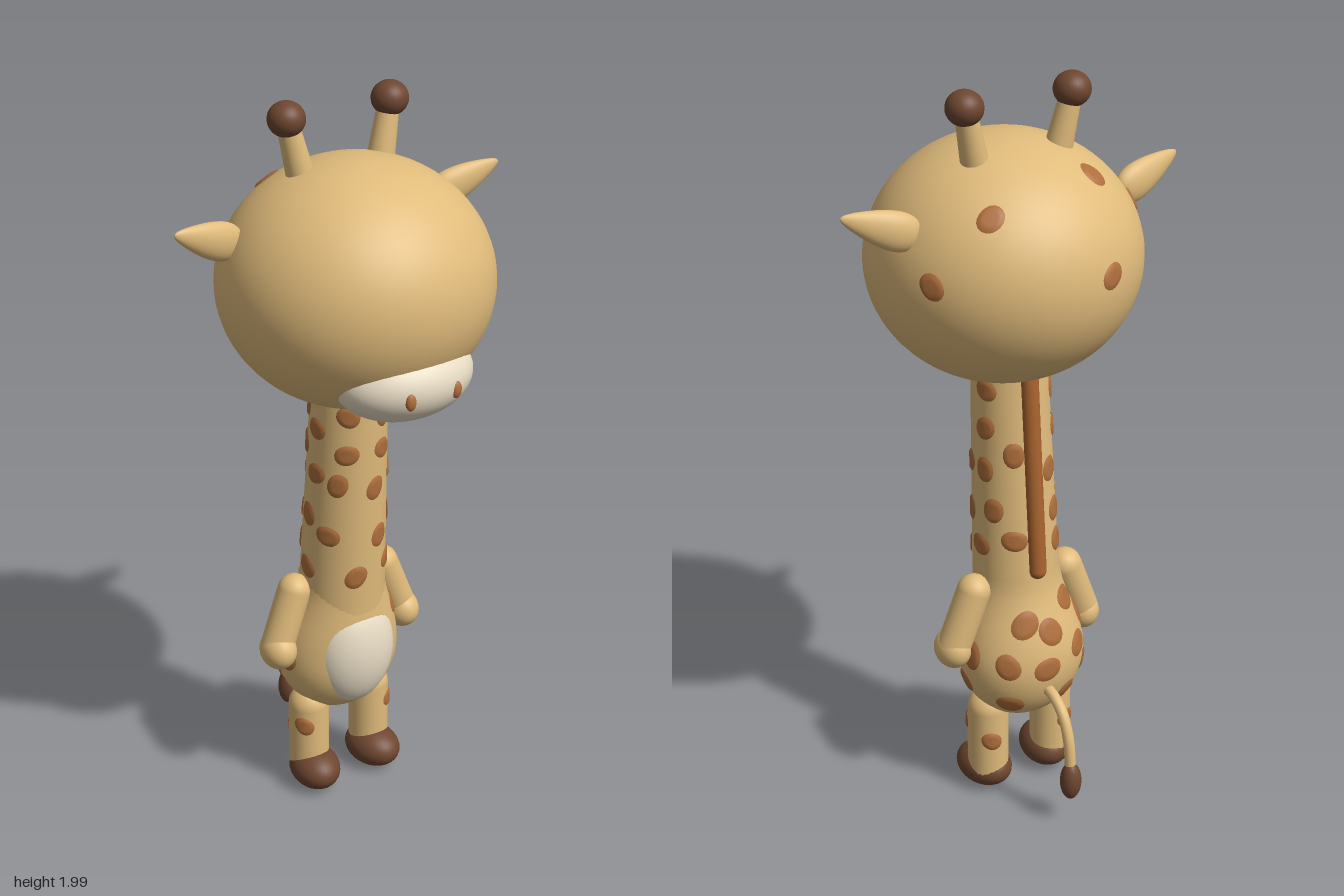
import * as THREE from 'three';
import { mergeVertices } from 'three/addons/utils/BufferGeometryUtils.js';

const mat = (color, side = THREE.FrontSide) => new THREE.MeshStandardMaterial({ color, side });
const TAN = mat(0xe0bb7b), CREAM = mat(0xe8dcc4), BROWN = mat(0x6e4630), MANE = mat(0xa8632f);
const SPOT = mat(0xae6e3c, THREE.DoubleSide);
const V = (x, y, z) => new THREE.Vector3(x, y, z);
const UP = V(0, 1, 0);

function add(parent, name, geometry, material) {
  const mesh = new THREE.Mesh(geometry, material);
  mesh.name = name;
  parent.add(mesh);
  return mesh;
}

function ellipsoid(parent, name, material, pos, radii, segments = 32) {
  const mesh = add(parent, name, new THREE.SphereGeometry(1, segments, Math.round(segments * 0.75)), material);
  mesh.position.copy(pos);
  mesh.scale.copy(radii);
  return mesh;
}

// Round-ended limb between two points
function capsule(parent, name, material, a, b, r) {
  const mesh = add(parent, name, new THREE.CapsuleGeometry(r, a.distanceTo(b), 8, 24), material);
  mesh.position.copy(a).lerp(b, 0.5);
  mesh.quaternion.setFromUnitVectors(UP, b.clone().sub(a).normalize());
  return mesh;
}

// Straight tapered rod from a to b
function rod(parent, name, material, a, b, ra, rb) {
  const mesh = add(parent, name, new THREE.CylinderGeometry(rb, ra, a.distanceTo(b), 28), material);
  mesh.position.copy(a).lerp(b, 0.5);
  mesh.quaternion.setFromUnitVectors(UP, b.clone().sub(a).normalize());
  return mesh;
}

// Surfaces: (angle round the part, height, lift off the skin) => point
const HEAD = { c: V(0, 1.53, 0.013), r: V(0.357, 0.32, 0.352) };
const headSkin = (a, lat, lift = 0) => V(
  (HEAD.r.x + lift) * Math.sin(a) * Math.cos(lat),
  (HEAD.r.y + lift) * Math.sin(lat),
  (HEAD.r.z + lift) * Math.cos(a) * Math.cos(lat)).add(HEAD.c);

const neckSkin = (a, y, lift = 0) => {
  const t = (y - 0.6) / 0.65;
  const r = 0.117 - 0.017 * t + lift;
  return V(r * Math.sin(a), y, -0.053 + 0.039 * t + r * Math.cos(a));
};

const bodyRadius = y => y < 0.42
  ? 0.175 * Math.sqrt(Math.max(0, 1 - ((0.42 - y) / 0.185) ** 2))
  : 0.145 + 0.03 * Math.cos(Math.PI * (y - 0.42) / 0.26);
const bodySkin = (a, y, lift = 0) => {
  const r = bodyRadius(y) + lift;
  const t = THREE.MathUtils.smoothstep(y, 0.42, 0.68);
  return V(r * Math.sin(a), y, -0.08 + 0.025 * t + r * Math.cos(a) * (0.85 + 0.13 * t));
};

// Closed skin swept around a surface rule
function loft(parent, name, skin, height) {
  const g = new THREE.PlaneGeometry(1, 1, 40, 28);
  const p = g.attributes.position;
  for (let i = 0; i < p.count; i++) {
    const q = skin(p.getX(i) * 2 * Math.PI, height(p.getY(i) + 0.5));
    p.setXYZ(i, q.x, q.y, q.z);
  }
  g.deleteAttribute('uv');
  g.deleteAttribute('normal');
  const welded = mergeVertices(g, 1e-5);
  welded.computeVertexNormals();
  return add(parent, name, welded, TAN);
}

// Thin patch that follows a skin; ru and rv turn lengths into its two parameters
function spot(parent, name, skin, a, h, size, ru, rv = 1) {
  const g = new THREE.RingGeometry(0.001, 1, 18, 4);
  const p = g.attributes.position;
  for (let i = 0; i < p.count; i++) {
    const x = p.getX(i), y = p.getY(i);
    const wobble = 1 + 0.1 * Math.sin(2 * Math.atan2(y, x) + a * 7 + h * 11);
    const edge = Math.hypot(x, y) > 0.95 ? 0.001 : 0.005;
    const q = skin(a + x * size * wobble / ru, h + y * size * wobble / rv, edge);
    p.setXYZ(i, q.x, q.y, q.z);
  }
  g.computeVertexNormals();
  add(parent, name, g, SPOT);
}

export function createModel() {
  const model = new THREE.Group();
  model.name = 'giraffe';

  // Head, muzzle and nostrils
  const head = new THREE.Group();
  head.name = 'head';
  model.add(head);
  ellipsoid(head, 'skull', TAN, HEAD.c, HEAD.r, 56);
  ellipsoid(head, 'muzzle', CREAM, V(0, 1.35, 0.22), V(0.19, 0.11, 0.147), 40);
  const headSpots = [[-2.485, 0.85], [2.5, 0.66], [-1.97, 0.42], [2.1, 0.11], [-2.83, 0.1]];
  for (const [a, lat] of headSpots) spot(head, 'headSpot', headSkin, a, lat, 0.034, 0.35 * Math.cos(lat), 0.33);

  // Neck, mane and torso
  loft(model, 'neck', neckSkin, t => 0.58 + 0.7 * t);
  capsule(model, 'mane', MANE, V(0, 1.25, -0.112), V(0, 0.7, -0.16), 0.024);
  loft(model, 'body', bodySkin, t => 0.235 + 0.445 * t * t);
  ellipsoid(model, 'bellyPatch', CREAM, V(0, 0.445, 0), V(0.12, 0.165, 0.09), 36);

  // Spots as [angle, height]
  const neckSpots = [
    [-0.6, 1.18], [0.45, 1.165], [-0.6, 1.07], [0.45, 1.07], [-0.8, 0.98], [0.2, 0.96], [1.2, 0.98],
    [-1, 0.825], [0.38, 0.81], [-0.27, 0.7], [0.8, 0.72], [1.95, 1.2], [1.9, 1.095], [1.87, 0.98],
    [1.22, 0.845], [2.1, 0.87], [1.68, 0.76], [2.6, 0.79], [-2.1, 1.18], [-2.1, 1.07], [-1.45, 1],
    [-2.6, 0.97], [-1.65, 0.87], [-2.45, 0.85], [-2.4, 0.76], [-1.6, 0.71], [-1.5, 1.13], [2.65, 1.03]];
  for (const [a, y] of neckSpots) spot(model, 'neckSpot', neckSkin, a, y, 0.032, 0.11);
  const bodySpots = [
    [1.13, 0.54], [1.75, 0.46], [2.45, 0.45], [1.45, 0.36], [2.45, 0.32], [2.75, 0.56], [-1.45, 0.43],
    [-2.4, 0.59], [-1.95, 0.52], [-2.45, 0.46], [-2, 0.37], [-3.05, 0.53], [-2.65, 0.32], [3.1, 0.43]];
  for (const [a, y] of bodySpots) spot(model, 'bodySpot', bodySkin, a, y, 0.037, bodyRadius(y));

  // Ear outline, revolved then flattened
  const earOutline = new THREE.SplineCurve([[0, 0], [0.036, 0.015], [0.05, 0.055], [0.044, 0.11],
    [0.026, 0.17], [0.01, 0.205], [0, 0.213]].map(q => new THREE.Vector2(...q))).getPoints(24);
  earOutline.forEach(q => { q.x = Math.max(0, q.x); });

  // Paired parts
  for (const s of [1, -1]) {
    const side = s > 0 ? 'left' : 'right';

    ellipsoid(head, side + 'Nostril', SPOT, V(s * 0.068, 1.34, 0.354), V(0.015, 0.023, 0.01), 16);
    rod(head, side + 'Horn', TAN, V(s * 0.115, 1.79, -0.05), V(s * 0.148, 1.94, -0.06), 0.037, 0.028);
    ellipsoid(head, side + 'HornTip', BROWN, V(s * 0.152, 1.956, -0.06), V(0.048, 0.045, 0.048), 28);

    const ear = add(head, side + 'Ear', new THREE.LatheGeometry(earOutline, 28), TAN);
    ear.scale.z = 0.58;
    const dir = V(s * 0.2, 0.075, 0.03).normalize();
    const flat = V(0, 0, 1).addScaledVector(dir, -dir.z).normalize();
    ear.quaternion.setFromRotationMatrix(
      new THREE.Matrix4().makeBasis(dir.clone().cross(flat), dir, flat));
    ear.position.set(s * 0.285, 1.66, -0.071);

    capsule(model, side + 'Arm', TAN, V(s * 0.142, 0.635, -0.07), V(s * 0.2, 0.485, -0.066), 0.046);
    ellipsoid(model, side + 'Hand', TAN, V(s * 0.202, 0.473, -0.06), V(0.048, 0.054, 0.058), 28);

    const hip = V(s * 0.1, 0, -0.07);
    const legSkin = (a, y, lift = 0) => V(
      hip.x + (0.056 + lift) * Math.sin(a), y, hip.z + (0.056 + lift) * Math.cos(a));
    capsule(model, side + 'Leg', TAN, V(hip.x, 0.07, hip.z), V(hip.x, 0.26, hip.z), 0.056);
    spot(model, 'legSpot', legSkin, s * 0.8, 0.215, 0.028, 0.056);
    spot(model, 'legSpot', legSkin, s * 2.8, 0.18, 0.028, 0.056);
    const foot = ellipsoid(model, side + 'Foot', BROWN, V(s * 0.098, 0.063, -0.045), V(0.068, 0.057, 0.088));
    foot.rotation.y = s * 0.15;
  }

  // Tail with tuft
  const tailPath = new THREE.CatmullRomCurve3([
    V(0, 0.355, -0.19), V(0, 0.36, -0.23), V(0, 0.33, -0.285), V(0, 0.265, -0.32), V(0, 0.16, -0.335)]);
  add(model, 'tail', new THREE.TubeGeometry(tailPath, 32, 0.015, 14), TAN);
  ellipsoid(model, 'tailTuft', BROWN, V(0, 0.138, -0.335), V(0.029, 0.056, 0.029), 24);

  return model;
}
